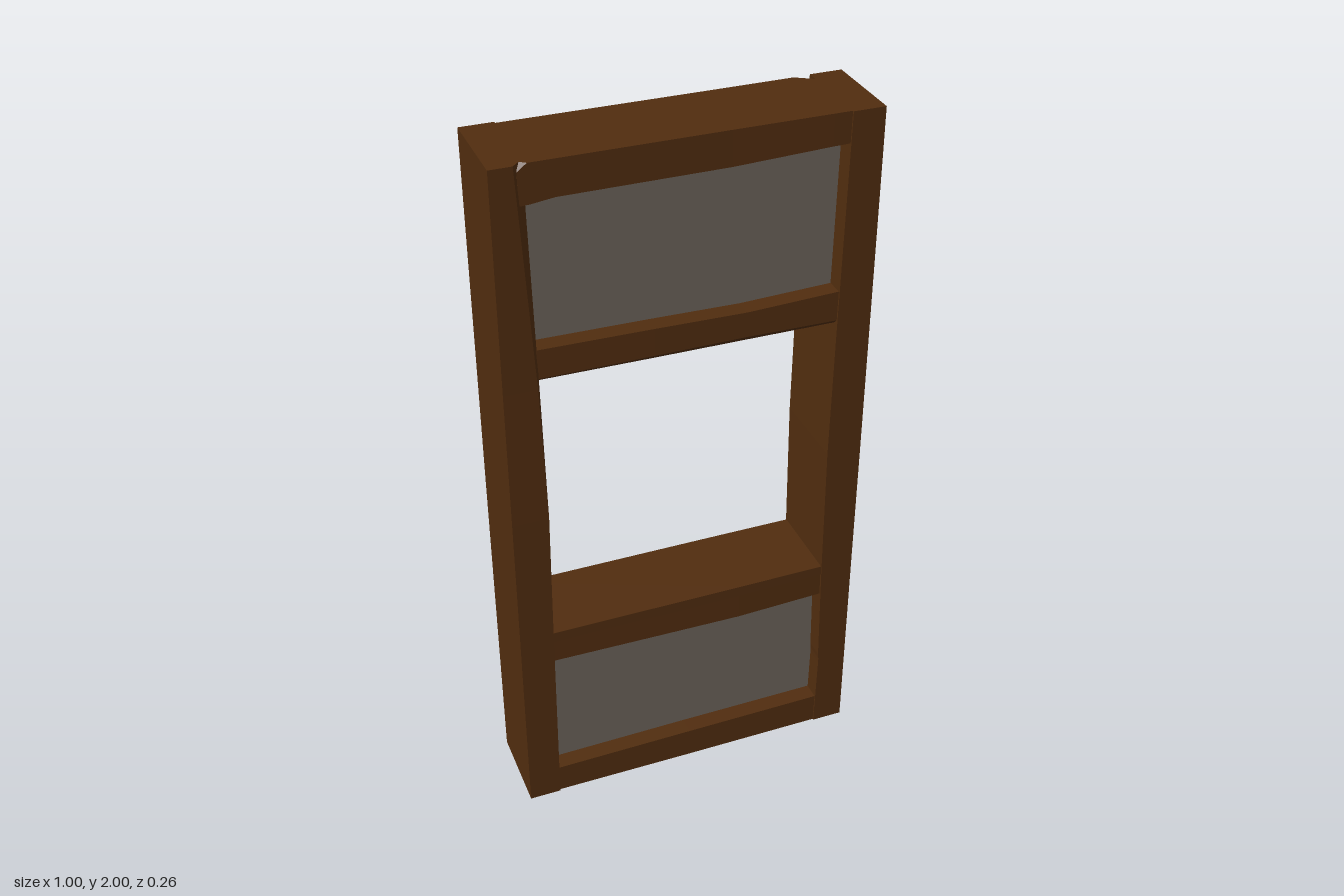
import * as THREE from 'three';

const wood = new THREE.MeshStandardMaterial({ color: 0x512d0f, flatShading: true });
wood.name = 'dark wood';
const plaster = new THREE.MeshStandardMaterial({ color: 0x6c635a, flatShading: true });
plaster.name = 'grey plaster';

// Hewn beam along x (or y when upright). Each station is
// [position, low edge, high edge, half depth, back chip, front chip];
// chips bevel the corners on the high edge.
function beam(name, stations, upright = false) {
  const rings = stations.map(([t, lo, hi, h, cb = 0, cf = 0]) => {
    const s = Math.sign(hi - lo);
    return [
      [lo, -h], [hi - s * cb, -h], [hi, -h + cb],
      [hi, h - cf], [hi - s * cf, h], [lo, h],
    ].map(([u, z]) => (upright ? [u, t, z] : [t, u, z]));
  });
  const flip = upright !== (stations[0][1] > stations[0][2]);
  const pos = [];
  const tri = (a, b, c) => pos.push(...a, ...(flip ? c : b), ...(flip ? b : c));
  for (let k = 0; k < rings.length - 1; k++) {
    const a = rings[k], b = rings[k + 1];
    for (let i = 0; i < 6; i++) {
      const j = (i + 1) % 6;
      tri(a[i], a[j], b[j]);
      tri(a[i], b[j], b[i]);
    }
  }
  const first = rings[0], last = rings[rings.length - 1];
  for (let i = 1; i < 5; i++) {
    tri(first[0], first[i + 1], first[i]);
    tri(last[0], last[i], last[i + 1]);
  }
  const geo = new THREE.BufferGeometry();
  geo.setAttribute('position', new THREE.Float32BufferAttribute(pos, 3));
  geo.computeVertexNormals();
  const mesh = new THREE.Mesh(geo, wood);
  mesh.name = name;
  return mesh;
}

export function createModel() {
  const group = new THREE.Group();
  group.name = 'timberWindowWall';

  // Upright posts, slightly uneven on the inner edge
  group.add(
    beam('rightPost', [
      [0, -0.5, -0.41, 0.125],
      [0.6, -0.5, -0.405, 0.127],
      [1.0, -0.5, -0.4, 0.128],
      [1.4, -0.5, -0.405, 0.127, 0, 0.005],
      [2, -0.5, -0.41, 0.127, 0, 0.03],
    ], true),
    beam('leftPost', [
      [0, 0.41, 0.5, 0.124],
      [0.235, 0.414, 0.5, 0.124],
      [0.25, 0.414, 0.5, 0.124, 0.012],
      [0.27, 0.412, 0.5, 0.124],
      [0.6, 0.405, 0.5, 0.124],
      [1.0, 0.4, 0.5, 0.125],
      [1.4, 0.404, 0.5, 0.125],
      [2, 0.412, 0.5, 0.125],
    ], true),
  );

  // Horizontal rails
  group.add(
    beam('bottomRail', [
      [-0.43, 0, 0.088, 0.12],
      [0, 0, 0.093, 0.121],
      [0.43, 0, 0.095, 0.12],
    ]),
    beam('topRail', [
      [-0.43, 1.895, 2, 0.12, 0, 0.02],
      [-0.405, 1.896, 2, 0.12],
      [-0.34, 1.904, 2, 0.12],
      [0.1, 1.905, 2, 0.12],
      [0.365, 1.915, 2, 0.121],
      [0.42, 1.916, 2, 0.121, 0.034],
    ]),
    beam('lowerRail', [
      [-0.43, 0.5, 0.58, 0.116],
      [-0.1, 0.497, 0.578, 0.119],
      [0.15, 0.494, 0.576, 0.12],
      [0.43, 0.501, 0.58, 0.117],
    ]),
    beam('windowSill', [
      [-0.43, 0.572, 0.604, 0.122],
      [0.15, 0.572, 0.604, 0.122],
      [0.43, 0.575, 0.604, 0.121],
    ]),
    // Lintel: bevelled along its underside
    beam('upperRail', [
      [-0.43, 1.507, 1.417, 0.12, 0.01, 0.008],
      [-0.1, 1.503, 1.411, 0.121, 0.014, 0.014],
      [0.15, 1.498, 1.406, 0.121, 0.018, 0.02],
      [0.43, 1.507, 1.409, 0.12, 0.014, 0.012],
    ]),
  );

  // Recessed infill panels
  for (const [name, y0, y1] of [['lowerPanel', 0.05, 0.54], ['upperPanel', 1.46, 1.96]]) {
    const panel = new THREE.Mesh(new THREE.BoxGeometry(0.86, y1 - y0, 0.14), plaster);
    panel.position.y = (y0 + y1) / 2;
    panel.name = name;
    group.add(panel);
  }
  return group;
}
